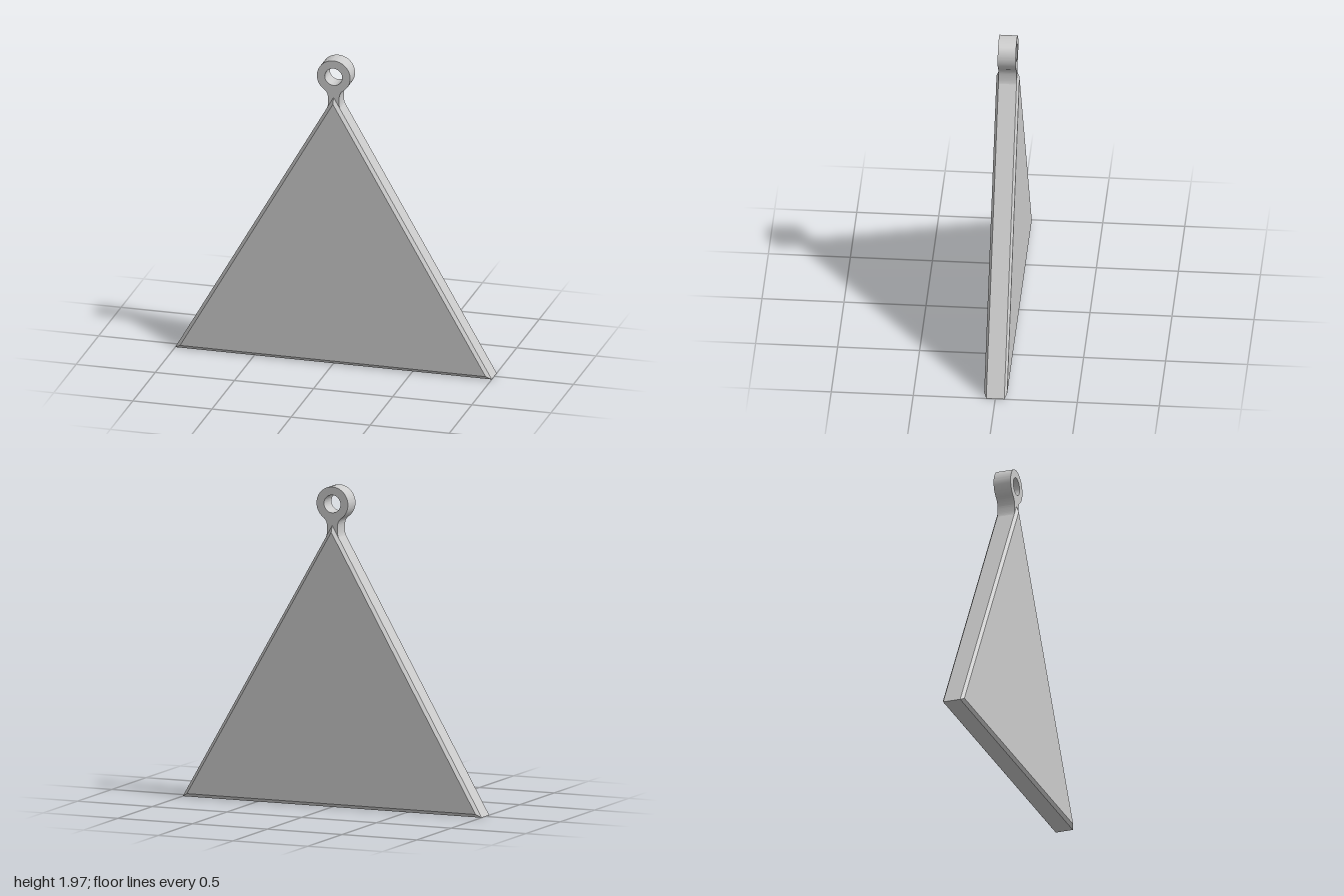
import * as THREE from 'three';
import { toCreasedNormals } from 'three/addons/utils/BufferGeometryUtils.js';

const material = new THREE.MeshStandardMaterial({ color: 0xcccccc });
const R = 2 / Math.sqrt(3); // circumradius of a triangle with side 2

// Triangular plate: a three-sided lathe with chamfered rims, laid facing +z
function makePlate() {
  const profile = [
    [0, -0.07], [R - 0.04, -0.07], [R, -0.055],
    [R, 0.055], [R - 0.04, 0.07], [0, 0.07],
  ].map(([r, h]) => new THREE.Vector2(r, h));
  const geometry = new THREE.LatheGeometry(profile, 3, Math.PI).toNonIndexed();
  geometry.computeVertexNormals();
  geometry.rotateX(Math.PI / 2);
  geometry.translate(0, R / 2, 0);
  const mesh = new THREE.Mesh(geometry, material);
  mesh.name = 'triangularPlate';
  return mesh;
}

// Hanging eyelet: ring and flared neck in a single extruded outline
function makeEyelet() {
  const cy = 1.865, outer = 0.105, hole = 0.055, depth = 0.11;
  const a = -0.96; // angle where the neck meets the ring
  const jx = outer * Math.cos(a), jy = cy + outer * Math.sin(a);
  const shape = new THREE.Shape();
  shape.moveTo(0, 1.6);
  shape.lineTo(0.043, 1.657);
  shape.bezierCurveTo(0.037, 1.668, 0.034, 1.685, 0.034, 1.715);
  shape.bezierCurveTo(0.034, 1.742, 0.04, 1.765, jx, jy);
  shape.absarc(0, cy, outer, a, Math.PI - a, false);
  shape.bezierCurveTo(-0.04, 1.765, -0.034, 1.742, -0.034, 1.715);
  shape.bezierCurveTo(-0.034, 1.685, -0.037, 1.668, -0.043, 1.657);
  shape.closePath();
  const eye = new THREE.Path();
  eye.absarc(0, cy, hole, 0, Math.PI * 2, true);
  shape.holes.push(eye);

  const extruded = new THREE.ExtrudeGeometry(shape, { depth, bevelEnabled: false, curveSegments: 32 });
  extruded.translate(0, 0, -depth / 2);
  const mesh = new THREE.Mesh(toCreasedNormals(extruded, 0.6), material);
  mesh.name = 'hangingEyelet';
  return mesh;
}

export function createModel() {
  const group = new THREE.Group();
  group.name = 'trianglePendant';
  group.add(makePlate(), makeEyelet());
  return group;
}
